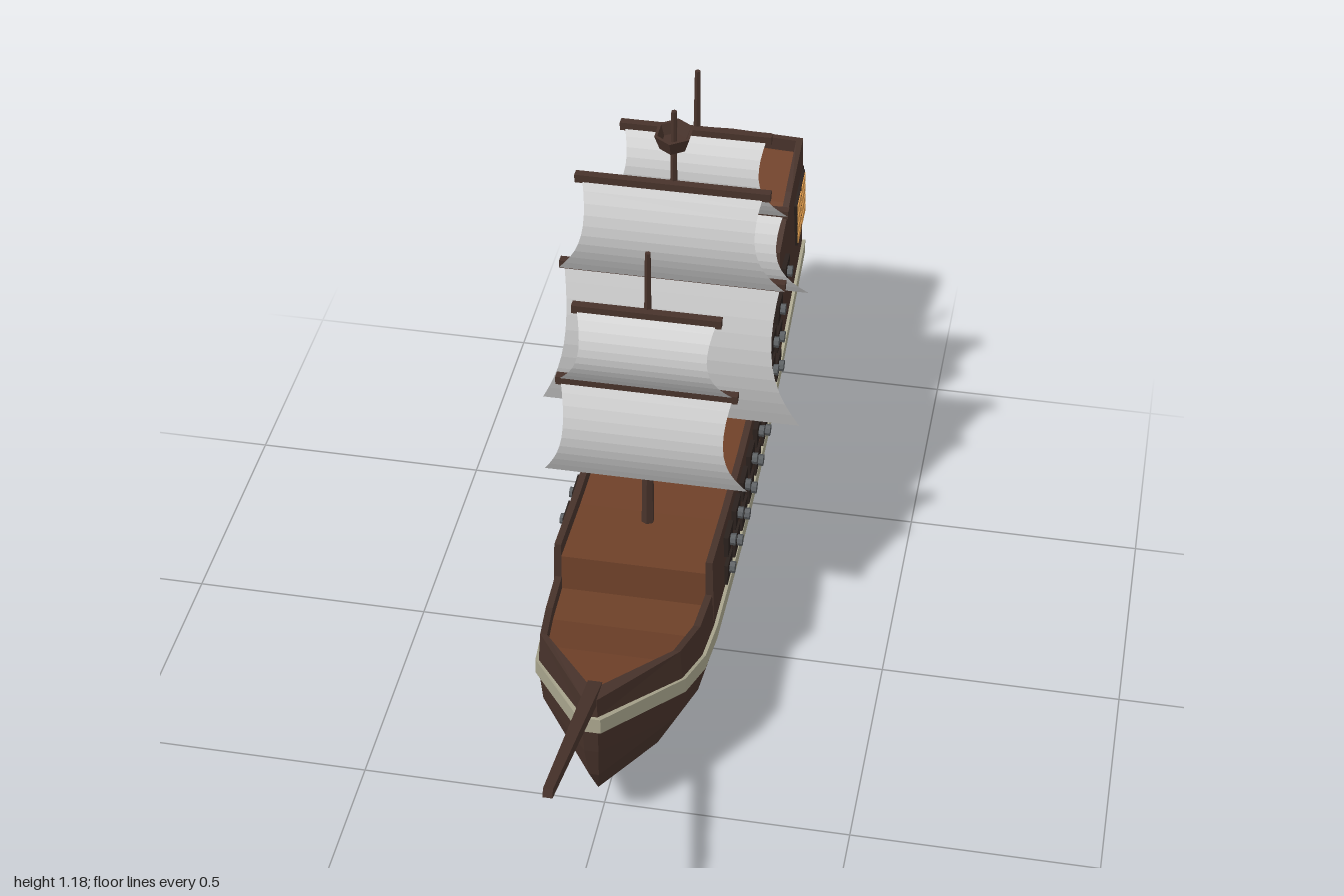
import * as THREE from 'three';

const paint = (color, side = THREE.FrontSide) =>
  new THREE.MeshStandardMaterial({ color, side, flatShading: true });
const wood = paint(0x48332b, THREE.DoubleSide);
const plank = paint(0x6f4129, THREE.DoubleSide);
const cream = paint(0xaaa68e, THREE.DoubleSide);
const cloth = paint(0xcccccc, THREE.DoubleSide);
const black = paint(0x2a211d);
const iron = paint(0x55595c);
const glass = paint(0xdc9a4c);

// Skins a row of cross-sections, each a list of [x, y, z]; side -1 mirrors it
function loft(sections, side = 1) {
  const pos = [];
  const put = (...pts) => {
    if (side < 0) pts.reverse();
    pts.forEach(([x, y, z]) => pos.push(x * side, y, z));
  };
  for (let i = 0; i < sections.length - 1; i++) {
    const p = sections[i], q = sections[i + 1];
    for (let j = 0; j < p.length - 1; j++) {
      put(p[j], q[j], q[j + 1]);
      put(p[j], q[j + 1], p[j + 1]);
    }
  }
  const g = new THREE.BufferGeometry();
  g.setAttribute('position', new THREE.Float32BufferAttribute(pos, 3));
  g.computeVertexNormals();
  return g;
}

function add(parent, name, geometry, material, x = 0, y = 0, z = 0) {
  const m = new THREE.Mesh(geometry, material);
  m.name = name;
  m.position.set(x, y, z);
  parent.add(m);
  return m;
}

// Hull stations: z, keel y, band y, rail y, half width (repeated z = deck step)
const stations = [
  [0.63, 0.1, 0.32, 0.4, 0],
  [0.63, 0.1, 0.32, 0.4, 0.015],
  [0.43, 0.045, 0.265, 0.37, 0.145],
  [0.3, 0.012, 0.215, 0.325, 0.163],
  [0.19, 0.01, 0.2, 0.315, 0.168],
  [0.19, 0.01, 0.2, 0.4, 0.168],
  [0, 0.004, 0.19, 0.385, 0.168],
  [-0.2, 0, 0.19, 0.38, 0.168],
  [-0.39, 0.003, 0.205, 0.39, 0.168],
  [-0.39, 0.003, 0.205, 0.45, 0.168],
  [-0.52, 0.015, 0.225, 0.465, 0.168],
  [-0.66, 0.05, 0.26, 0.515, 0.168],
  [-0.66, 0.05, 0.26, 0.58, 0.168],
  [-0.82, 0.1, 0.31, 0.635, 0.168],
  [-0.98, 0.15, 0.36, 0.675, 0.168],
  [-0.99, 0.15, 0.36, 0.675, 0],
];
const BULWARK = 0.03;
const innerZ = z => (z > 0.6 ? z - 0.03 : z < -0.9 ? z + 0.014 : z);
const innerX = w => Math.max(0, w - 0.014);

function hullSection([z, k, b, r, w]) {
  const rake = z > 0.6 ? 1 : 0;
  const h = b - k;
  return [
    [0, k, z - 0.07 * rake],
    [w * 0.66, k + h * 0.33, z - 0.03 * rake],
    [w * 0.95, k + h * 0.7, z - 0.01 * rake],
    [w, b, z],
    [w, b + 0.035, z],
    [w * 0.97, r, z],
    [innerX(w * 0.97), r, innerZ(z)],
    [innerX(w * 0.97), r - BULWARK, innerZ(z)],
  ];
}
const deckSection = ([z, , , r, w]) => [
  [innerX(w * 0.97), r - BULWARK, innerZ(z)],
  [0, r - BULWARK, innerZ(z)],
];
function bandSection([z, , b, , w]) {
  const x = w > 0 ? w + 0.007 : 0;
  const out = z > 0.6 ? z + 0.007 : z < -0.9 ? z - 0.008 : z;
  return [[w, b, z], [x, b, out], [x, b + 0.035, out], [w, b + 0.035, z]];
}

// One square sail, flaring to its foot and bellied forward
function sail(top, foot, yTop, yFoot, z, belly) {
  const rows = [];
  for (let i = 0; i <= 10; i++) {
    const t = i / 10, s = Math.sin(Math.PI * t);
    const w = top + (foot - top) * t * t - 0.018 * s;
    const y = yTop + (yFoot - yTop) * t;
    rows.push([[-w, y, z + belly * s + 0.008 * t], [w, y, z + belly * s + 0.008 * t]]);
  }
  return loft(rows);
}

// Mast z, mast top, foot; sails: yard half length, head, foot half width, top y, foot y
const masts = [
  { name: 'foreMast', z: 0.03, top: 1.03, base: 0.34, sails: [
    [0.15, 0.14, 0.175, 0.89, 0.72], [0.185, 0.175, 0.21, 0.71, 0.485]] },
  { name: 'mainMast', z: -0.25, top: 1.18, base: 0.34, sails: [
    [0.2, 0.185, 0.235, 1.01, 0.79], [0.235, 0.225, 0.275, 0.795, 0.45]] },
  { name: 'mizzenMast', z: -0.52, top: 1.11, base: 0.42, sails: [
    [0.16, 0.15, 0.2, 0.97, 0.79], [0.2, 0.19, 0.25, 0.79, 0.6]] },
];

// Gun port centres: z, y
const columns = [0.03, -0.065, -0.16, -0.25, -0.34, -0.435, -0.53, -0.62];
const lower = [0.26, 0.255, 0.25, 0.25, 0.255, 0.265, 0.28, 0.305];
const upper = [0.335, 0.33, 0.33, 0.33, 0.335, 0.34, 0.36, 0.385];
const ports = [
  ...columns.map((z, i) => [z, lower[i]]),
  ...columns.map((z, i) => [z, upper[i]]),
  [-0.53, 0.435], [-0.62, 0.46], [-0.71, 0.5],
];

// Dark lattice holding glowing panes, facing +z
function windowPanel(name, width, height, cols, rows) {
  const g = new THREE.Group();
  g.name = name;
  add(g, 'windowFrame', new THREE.BoxGeometry(width, height, 0.012), black);
  const cw = width / cols, ch = height / rows;
  const pane = new THREE.BoxGeometry(cw - 0.01, ch - 0.008, 0.014);
  for (let i = 0; i < cols; i++)
    for (let j = 0; j < rows; j++)
      add(g, 'windowPane', pane, glass, (i + 0.5) * cw - width / 2, (j + 0.5) * ch - height / 2, 0.001);
  return g;
}

export function createModel() {
  const ship = new THREE.Group();
  ship.name = 'sailingShip';

  for (const s of [1, -1]) {
    const side = s > 0 ? 'left' : 'right';
    add(ship, side + 'Hull', loft(stations.map(hullSection), s), wood);
    add(ship, side + 'Deck', loft(stations.map(deckSection), s), plank);
    add(ship, side + 'HullBand', loft(stations.map(bandSection), s), cream);

    // Gun ports and barrels
    const guns = new THREE.Group();
    guns.name = side + 'Guns';
    ship.add(guns);
    const frame = new THREE.BoxGeometry(0.016, 0.05, 0.06);
    const barrel = new THREE.CylinderGeometry(0.011, 0.013, 0.03, 8).rotateZ(Math.PI / 2);
    for (const [z, y] of ports) {
      add(guns, 'gunPort', frame, black, s * 0.166, y, z);
      add(guns, 'gunBarrel', barrel, iron, s * 0.17, y, z);
    }

    // Stern windows on the quarter and the transom
    const quarter = windowPanel(side + 'QuarterWindows', 0.12, 0.125, 2, 4);
    quarter.position.set(s * 0.165, 0.525, -0.925);
    quarter.rotation.set(0, s * Math.PI / 2, s * 0.2);
    ship.add(quarter);
    const transom = windowPanel(side + 'TransomWindows', 0.165, 0.125, 3, 4);
    transom.position.set(s * 0.083, 0.535, -0.987);
    transom.rotation.y = Math.PI - s * 0.06;
    ship.add(transom);
  }

  // Bowsprit
  const sprit = add(ship, 'bowsprit',
    new THREE.CylinderGeometry(0.013, 0.02, 0.437, 4).rotateY(Math.PI / 4), wood, 0, 0.445, 0.79);
  sprit.rotation.x = Math.atan2(0.42, 0.12);

  // Masts with yards and sails
  for (const { name, z, top, base, sails } of masts) {
    const g = new THREE.Group();
    g.name = name;
    ship.add(g);
    add(g, 'pole', new THREE.CylinderGeometry(0.006, 0.014, top - base, 6), wood, 0, (top + base) / 2, z);
    for (const [yard, head, foot, yTop, yFoot] of sails) {
      add(g, 'yard', new THREE.BoxGeometry(yard * 2, 0.018, 0.018), wood, 0, yTop, z + 0.012);
      add(g, 'sail', sail(head, foot, yTop, yFoot, z + 0.017, 0.04), cloth);
    }
  }

  // Lookout basket on the main mast
  const basket = [[0, 0], [0.036, 0], [0.05, 0.032], [0.042, 0.032], [0.032, 0.01], [0, 0.01]]
    .map(([x, y]) => new THREE.Vector2(x, y));
  add(ship, 'lookoutBasket', new THREE.LatheGeometry(basket, 6), wood, 0, 1.1, -0.25).scale.x = 0.82;

  return ship;
}
